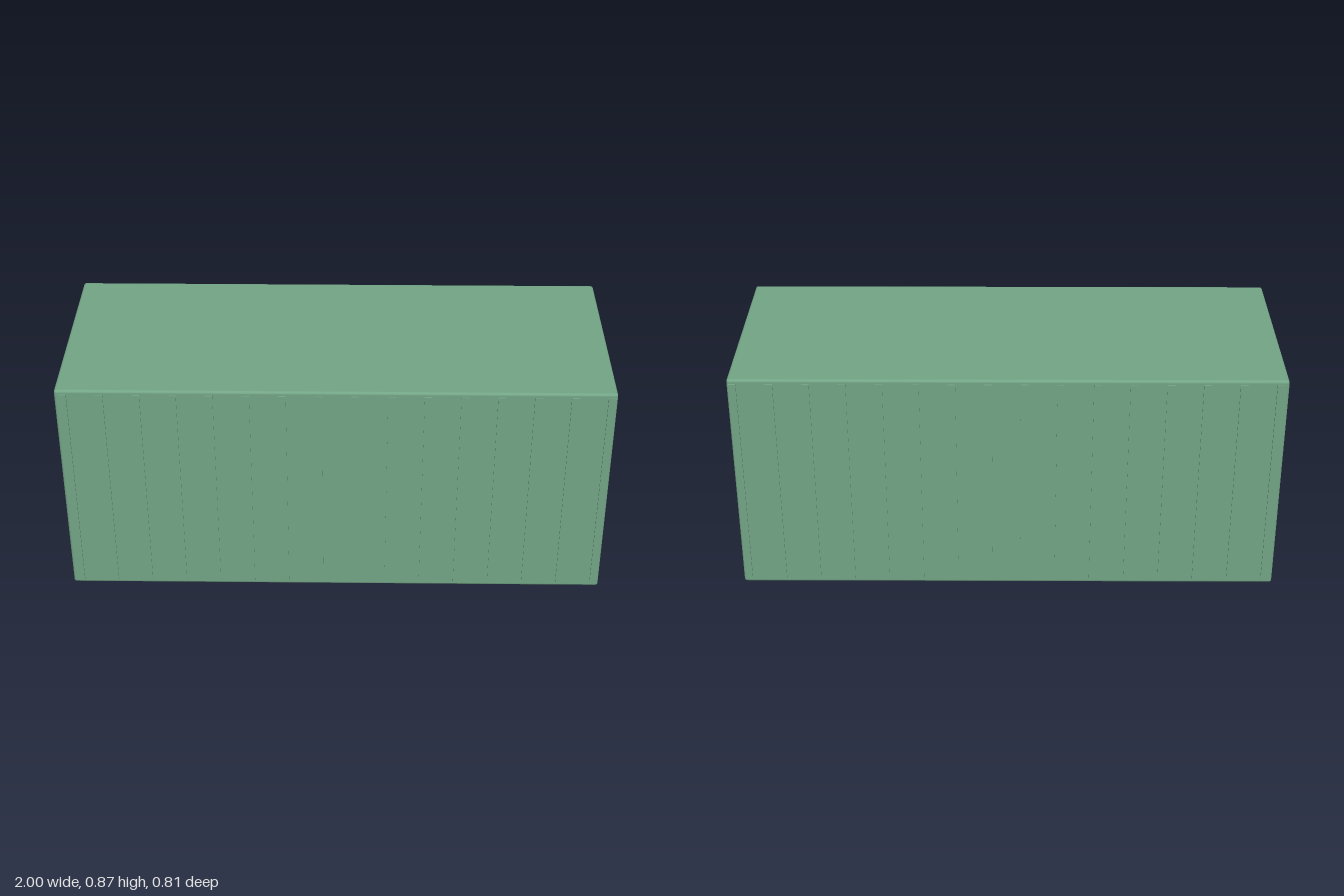
import * as THREE from 'three';
import { RoundedBoxGeometry } from 'three/addons/geometries/RoundedBoxGeometry.js';

const LENGTH = 2, HEIGHT = 0.865, DEPTH = 0.8;
const RIB_COUNT = 16, RIB_STEP = 0.13, FIRST_RIB_X = -0.97;

export function createModel() {
  const model = new THREE.Group();
  model.name = 'shippingContainer';
  const paint = new THREE.MeshStandardMaterial({ color: 0x73a586 });

  // Closed body with softly rounded edges
  const body = new THREE.Mesh(new RoundedBoxGeometry(LENGTH, HEIGHT, DEPTH, 3, 0.01), paint);
  body.name = 'body';
  body.position.y = HEIGHT / 2;
  model.add(body);

  // Evenly spaced upright ribs, standing slightly proud of both long walls
  const ribGeometry = new THREE.BoxGeometry(0.027, 0.83, 0.02);
  for (const [side, name] of [[1, 'frontRibs'], [-1, 'backRibs']]) {
    const ribs = new THREE.Group();
    ribs.name = name;
    for (let i = 0; i < RIB_COUNT; i++) {
      const rib = new THREE.Mesh(ribGeometry, paint);
      rib.name = 'rib';
      rib.position.set(FIRST_RIB_X + i * RIB_STEP, HEIGHT / 2 + 0.002, side * 0.396);
      ribs.add(rib);
    }
    model.add(ribs);
  }
  return model;
}
